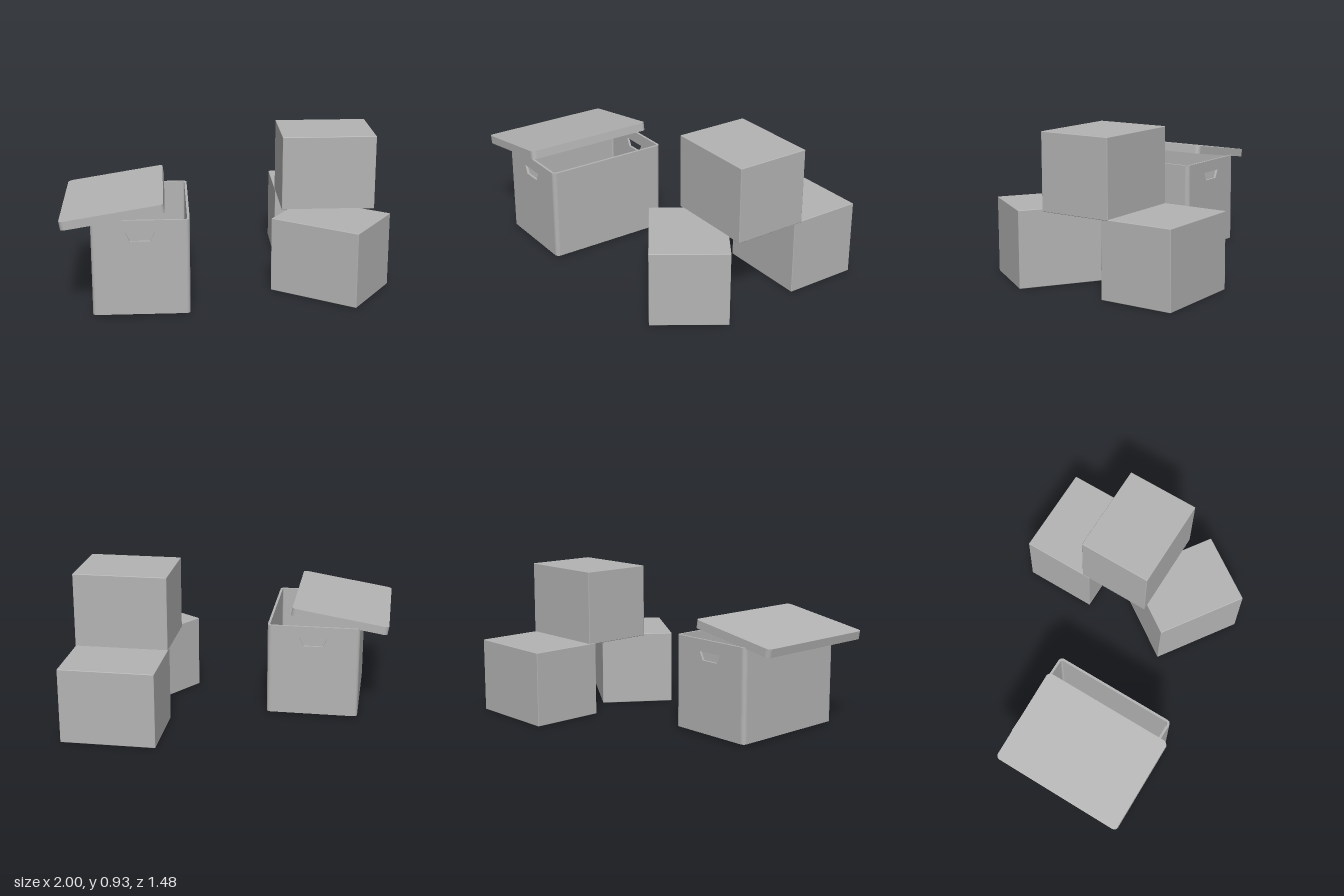
import * as THREE from 'three';
import { RoundedBoxGeometry } from 'three/addons/geometries/RoundedBoxGeometry.js';

const cardboard = new THREE.MeshStandardMaterial({ color: 0xb4b4b4 });
cardboard.name = 'plain grey';

function addMesh(parent, name, geometry) {
  const mesh = new THREE.Mesh(geometry, cardboard);
  mesh.name = name;
  parent.add(mesh);
  return mesh;
}

// Rounded rectangle centred on the origin
function roundedRect(Type, w, d, r) {
  const s = new Type(), x = w / 2 - r, y = d / 2 - r;
  s.absarc(x, y, r, 0, Math.PI / 2);
  s.absarc(-x, y, r, Math.PI / 2, Math.PI);
  s.absarc(-x, -y, r, Math.PI, Math.PI * 1.5);
  s.absarc(x, -y, r, Math.PI * 1.5, Math.PI * 2);
  s.closePath();
  return s;
}

// Extrude a floor-plan shape upwards from y = 0
function extrudeUp(shape, height) {
  return new THREE.ExtrudeGeometry(shape, { depth: height, bevelEnabled: false, curveSegments: 6 })
    .rotateX(-Math.PI / 2);
}

// Side wall with both rounded corners, as a C-shaped plan
function sideWall(w, d, r, t, height) {
  const s = new THREE.Shape(), x = w / 2 - r, y = d / 2 - r;
  s.moveTo(x, -d / 2);
  s.absarc(x, -y, r, -Math.PI / 2, 0);
  s.absarc(x, y, r, 0, Math.PI / 2);
  s.lineTo(x, d / 2 - t);
  s.absarc(x, y, r - t, Math.PI / 2, 0, true);
  s.absarc(x, -y, r - t, 0, -Math.PI / 2, true);
  s.closePath();
  return extrudeUp(s, height);
}

// Flat end wall with a trapezoid hand hole
function handleWall(w, height, t) {
  const s = new THREE.Shape();
  s.moveTo(-w / 2, 0);
  s.lineTo(w / 2, 0);
  s.lineTo(w / 2, height);
  s.lineTo(-w / 2, height);
  s.closePath();
  const hole = new THREE.Path();
  hole.moveTo(-0.085, height - 0.075);
  hole.lineTo(0.085, height - 0.075);
  hole.lineTo(0.06, height - 0.128);
  hole.lineTo(-0.06, height - 0.128);
  hole.closePath();
  s.holes.push(hole);
  return new THREE.ExtrudeGeometry(s, { depth: t, bevelEnabled: false });
}

function createOpenBox() {
  const box = new THREE.Group();
  box.name = 'openBox';
  const w = 0.574, d = 0.796, h = 0.58, r = 0.026, t = 0.015;
  addMesh(box, 'boxFloor', extrudeUp(roundedRect(THREE.Shape, w, d, r), t));
  for (const turn of [0, Math.PI]) {
    const half = new THREE.Group();
    half.name = turn ? 'backLeftHalf' : 'frontRightHalf';
    half.rotation.y = turn;
    addMesh(half, 'sideWall', sideWall(w, d, r, t, h - t)).position.y = t;
    addMesh(half, 'handleWall', handleWall(w - 2 * r, h - t, t)).position.set(0, t, d / 2 - t);
    box.add(half);
  }
  box.position.set(-0.538, 0.012, 0.283);
  return box;
}

function createLid() {
  const lid = new THREE.Group();
  lid.name = 'lid';
  const w = 0.605, d = 0.842, h = 0.052, t = 0.02, r = 0.028, top = 0.006;
  // Rim
  const rim = roundedRect(THREE.Shape, w, d, r);
  rim.holes.push(roundedRect(THREE.Path, w - 2 * t, d - 2 * t, r - t));
  addMesh(lid, 'lidRim', extrudeUp(rim, h - top)).position.y = -h / 2;
  // Thin top panel
  addMesh(lid, 'lidTop', extrudeUp(roundedRect(THREE.Shape, w, d, r), top)).position.y = h / 2 - top;
  lid.position.set(-0.697, 0.63, 0.319);
  lid.rotation.z = 0.16;
  return lid;
}

export function createModel() {
  const model = new THREE.Group();
  model.name = 'storageBoxes';
  model.add(createOpenBox(), createLid());

  // Closed boxes: name, centre, turn about y
  const closed = [
    ['backBox', 0.628, 0.235, -0.508, 0],
    ['topBox', 0.63, 0.697, -0.092, 0],
    ['turnedBox', 0.628, 0.235, 0.286, -0.595],
  ];
  for (const [name, x, y, z, turn] of closed) {
    const mesh = addMesh(model, name, new RoundedBoxGeometry(0.583, 0.468, 0.466, 2, 0.004));
    mesh.position.set(x, y, z);
    mesh.rotation.y = turn;
  }
  return model;
}
